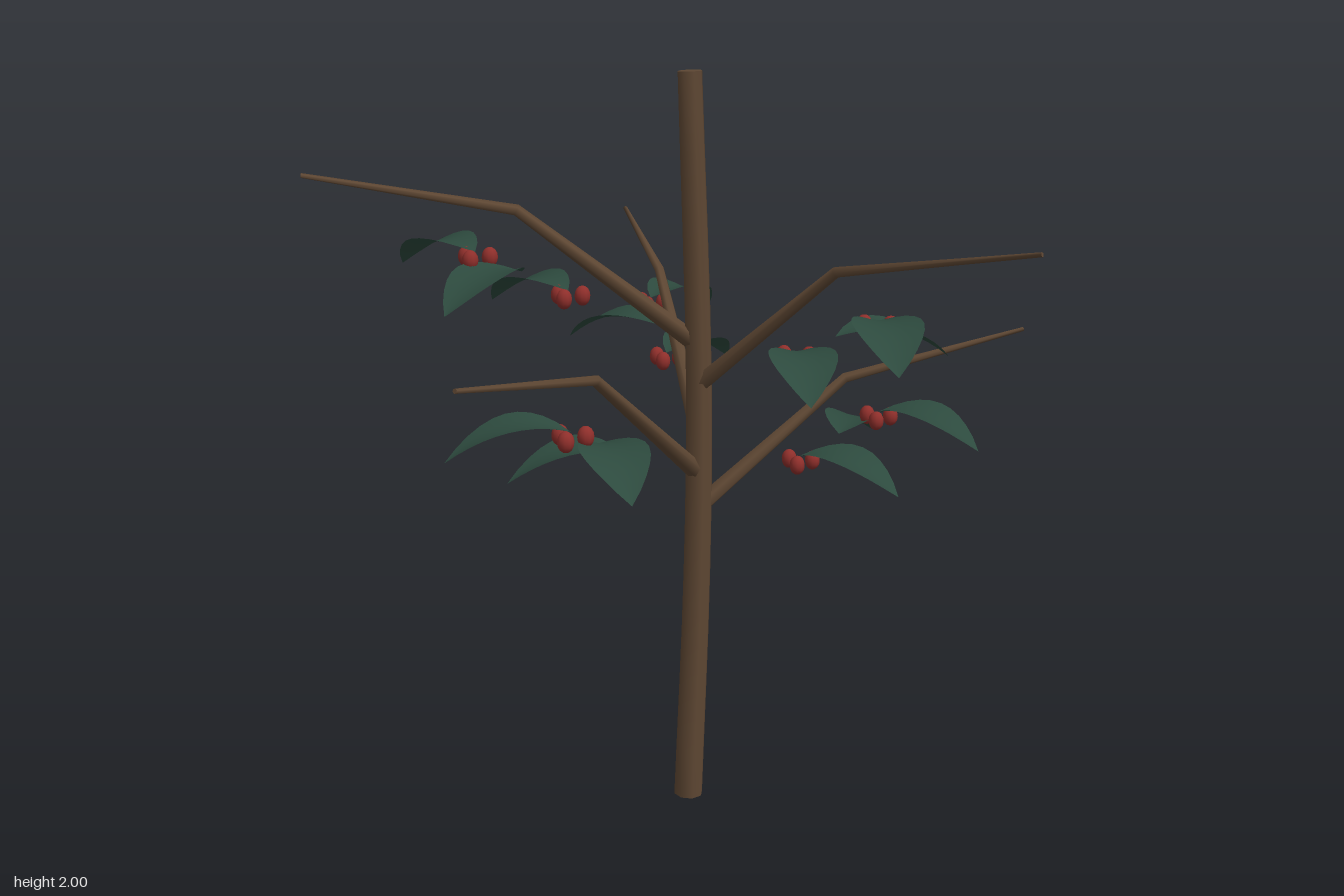
import * as THREE from 'three';

const bark = new THREE.MeshStandardMaterial({ color: 0x5e4733 });
bark.name = 'bark brown';
const foliage = new THREE.MeshStandardMaterial({ color: 0x2d4a3e, side: THREE.DoubleSide });
foliage.name = 'leaf green';
const fruit = new THREE.MeshStandardMaterial({ color: 0x8f2f2b });
fruit.name = 'berry red';

const V = (x, y, z) => new THREE.Vector3(x, y, z);

// Tapered limb: one ring per path point, closed with a cap at both ends
function limb(points, radii, sides) {
  const pos = [], index = [];
  const rings = points.map((p, i) => {
    const a = points[Math.max(i - 1, 0)], b = points[Math.min(i + 1, points.length - 1)];
    const tangent = b.clone().sub(a).normalize();
    const u = V(0, 0, 1).cross(tangent);
    if (u.length() < 0.3) u.copy(V(1, 0, 0).cross(tangent));
    u.normalize();
    const v = tangent.clone().cross(u);
    return Array.from({ length: sides }, (_, k) => {
      const t = (k / sides) * Math.PI * 2;
      return p.clone().addScaledVector(u, Math.cos(t) * radii[i]).addScaledVector(v, Math.sin(t) * radii[i]);
    });
  });
  rings.forEach(r => r.forEach(q => pos.push(q.x, q.y, q.z)));
  for (let i = 0; i < rings.length - 1; i++) {
    for (let k = 0; k < sides; k++) {
      const a = i * sides + k, b = i * sides + (k + 1) % sides;
      index.push(a, b, a + sides, b, b + sides, a + sides);
    }
  }
  for (const end of [0, rings.length - 1]) {
    const first = pos.length / 3;
    rings[end].forEach(q => pos.push(q.x, q.y, q.z));
    for (let k = 1; k < sides - 1; k++) {
      if (end) index.push(first, first + k, first + k + 1);
      else index.push(first, first + k + 1, first + k);
    }
  }
  const g = new THREE.BufferGeometry();
  g.setAttribute('position', new THREE.Float32BufferAttribute(pos, 3));
  g.setIndex(index);
  g.computeVertexNormals();
  return g;
}

// Arched leaf growing along +x, with its edges lifted slightly
function leafGeometry() {
  const g = new THREE.PlaneGeometry(1, 2, 10, 4).rotateX(-Math.PI / 2);
  const p = g.attributes.position;
  for (let i = 0; i < p.count; i++) {
    const t = p.getX(i) + 0.5, s = p.getZ(i);
    const w = Math.pow(Math.max(Math.sin(Math.PI * Math.pow(t, 0.95)), 0), 0.85);
    p.setXYZ(i, t * 0.298, 0.015 + 0.11 * t - 0.175 * t * t + 0.016 * s * s * w, s * w * 0.084);
  }
  g.computeVertexNormals();
  return g;
}

// start height, bend, tip, first and last leaf node of each branch
const BRANCHES = [
  { name: 'leftBranch', y: 0.85, bend: [0.43, 1.18, 0.1], tip: [0.96, 1.28, 0.095], nodes: [[0.305, 0.955, 0.1], [0.533, 1.06, 0.095]] },
  { name: 'frontLeftBranch', y: 1.19, bend: [0.26, 1.54, 0.44], tip: [0.58, 1.64, 0.865], nodes: [[0.195, 1.31, 0.345], [0.33, 1.42, 0.535]] },
  { name: 'frontRightBranch', y: 0.95, bend: [-0.33, 1.3, 0.39], tip: [-0.72, 1.395, 0.75], nodes: [[-0.235, 1.07, 0.31], [-0.41, 1.185, 0.465]] },
  { name: 'rightBranch', y: 1.3, bend: [-0.44, 1.66, 0.02], tip: [-0.96, 1.755, -0.065], nodes: [[-0.315, 1.435, 0.04], [-0.545, 1.54, 0]] },
  { name: 'backBranch', y: 1.07, bend: [0.035, 1.415, -0.34], tip: [0.072, 1.515, -0.87], nodes: [[0.018, 1.19, -0.214], [0.037, 1.3, -0.447]] },
];

export function createModel() {
  const model = new THREE.Group();
  model.name = 'berryTree';
  const add = (parent, name, geometry, material) => {
    const m = new THREE.Mesh(geometry, material);
    m.name = name;
    parent.add(m);
    return m;
  };

  // Gently bowed trunk
  const trunkCurve = new THREE.CatmullRomCurve3(
    [V(-0.01, 0, 0.1), V(0.014, 0.67, 0.1), V(0.018, 1.2, 0.1), V(-0.008, 2, 0.1)]);
  const path = trunkCurve.getPoints(12);
  add(model, 'trunk', limb(path, path.map(p => 0.041 - 0.0045 * p.y), 8), bark);

  const leafShape = leafGeometry();
  const berryShape = new THREE.SphereGeometry(0.021, 10, 8).scale(1, 1.25, 1);

  for (const b of BRANCHES) {
    const group = new THREE.Group();
    group.name = b.name;
    model.add(group);
    const start = V(0.015, b.y, 0.1), tip = V(...b.tip);
    add(group, 'branch', limb([start, V(...b.bend), tip], [0.025, 0.0145, 0.006], 6), bark);

    const heading = Math.atan2(tip.z - start.z, tip.x - start.x);
    for (let i = 0; i < 3; i++) {
      const node = V(...b.nodes[0]).lerp(V(...b.nodes[1]), i / 2);

      // Leaves alternate from side to side
      const leaf = add(group, 'leaf', leafShape, foliage);
      leaf.position.copy(node);
      leaf.rotation.y = -(heading + (i % 2 ? -0.86 : 0.86));

      // Three berries at the first and last node
      if (i === 1) continue;
      for (let k = 0; k < 3; k++) {
        const a = (k / 3) * Math.PI * 2;
        add(group, 'berry', berryShape, fruit).position.set(
          node.x + Math.cos(a) * 0.037, node.y, node.z + Math.sin(a) * 0.037);
      }
    }
  }
  return model;
}
